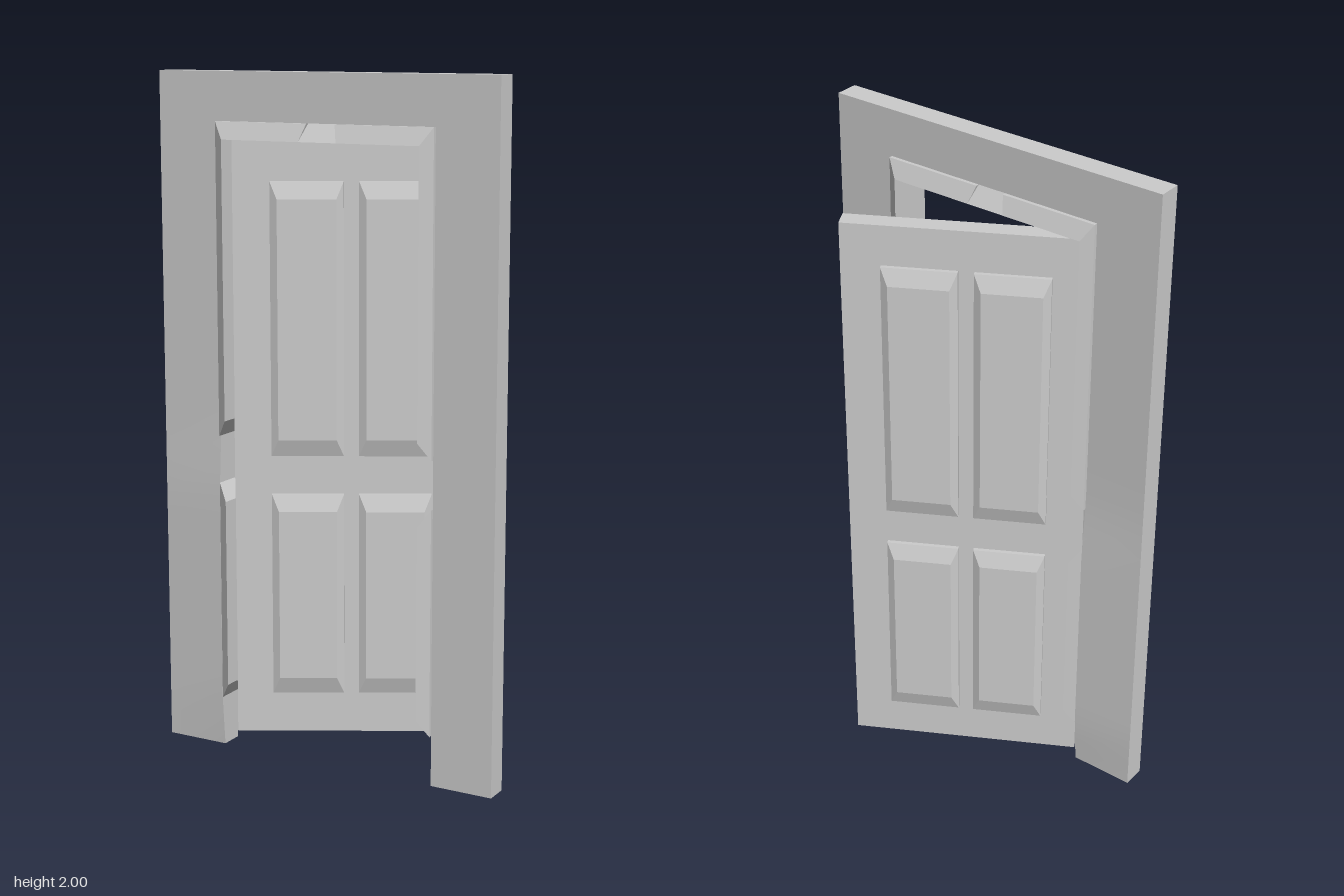
import * as THREE from 'three';
import { ConvexGeometry } from 'three/addons/geometries/ConvexGeometry.js';

const material = new THREE.MeshStandardMaterial({ color: 0xcccccc });
const V = (x, y, z) => new THREE.Vector3(x, y, z);

function part(parent, name, geometry, x = 0, y = 0, z = 0) {
  const mesh = new THREE.Mesh(geometry, material);
  mesh.name = name;
  mesh.position.set(x, y, z);
  parent.add(mesh);
}

// Solid spanning two [x, y] outlines, each with its own back and front depth
function bevelled(outer, outerZ, inner, innerZ) {
  const points = [];
  for (const [outline, depths] of [[outer, outerZ], [inner, innerZ]])
    for (const [x, y] of outline)
      for (const z of depths) points.push(V(x, y, z));
  return new ConvexGeometry(points);
}

const rect = (x0, x1, y0, y1) => [[x0, y0], [x1, y0], [x1, y1], [x0, y1]];

// Frame depths and opening
const BACK = 0.113, FRONT = 0.183, MID = (BACK + FRONT) / 2, DEPTH = FRONT - BACK;
const LEFT = -0.345, RIGHT = 0.35, TOP = 1.86;

function buildFrame() {
  const frame = new THREE.Group();
  frame.name = 'doorFrame';

  // Header and straight jamb as one outline
  const shape = new THREE.Shape([[-0.54, TOP], [RIGHT, TOP], [RIGHT, 0], [0.54, 0], [0.54, 2], [-0.54, 2]]
    .map(([x, y]) => new THREE.Vector2(x, y)));
  part(frame, 'headerAndJamb', new THREE.ExtrudeGeometry(shape, { depth: DEPTH, bevelEnabled: false }), 0, 0, BACK);

  // Hinge jamb, swelling softly along the lower inner edge
  const width = LEFT + 0.54;
  const jamb = new THREE.BoxGeometry(width, TOP, DEPTH, 1, 24, 1);
  const pos = jamb.attributes.position;
  for (let i = 0; i < pos.count; i++) {
    if (pos.getX(i) < 0) continue;
    const y = pos.getY(i) + TOP / 2;
    const swell = 0.012 * Math.min(1, y / 0.15) * (1 - THREE.MathUtils.smoothstep(y, 0.75, 1.0));
    pos.setZ(i, pos.getZ(i) + Math.sign(pos.getZ(i)) * swell);
  }
  jamb.computeVertexNormals();
  part(frame, 'hingeJamb', jamb, (LEFT - 0.54) / 2, TOP / 2, MID);

  // Bevelled trim lining the opening
  const outerZ = [0.102, 0.194], innerZ = [0.081, 0.215];
  for (const [side, edge, inset] of [['hinge', LEFT, 0.033], ['latch', RIGHT, -0.034]]) {
    const inside = edge + inset;
    part(frame, side + 'LowerTrim', bevelled([[edge, 0.15], [edge, 0.81]], outerZ, [[inside, 0.2], [inside, 0.76]], innerZ));
    part(frame, side + 'UpperTrim', bevelled([[edge, 0.95], [edge, TOP]], outerZ, [[inside, 1.0], [inside, 1.81]], innerZ));
    const s = Math.sign(edge);
    part(frame, side + 'TopTrim', bevelled([[edge, TOP], [s * 0.045, TOP]], outerZ, [[inside, 1.81], [s * 0.06, 1.81]], innerZ));
  }
  part(frame, 'middleTopTrim', bevelled([[-0.045, TOP], [0.045, TOP]], [BACK, FRONT], [[-0.06, 1.81], [0.06, 1.81]], innerZ));
  return frame;
}

function buildDoor() {
  const door = new THREE.Group();
  door.name = 'door';
  const W = 0.69, T = 0.057, bottom = 0.04, top = 1.81;
  part(door, 'doorSlab', new THREE.BoxGeometry(W, top - bottom, T), W / 2, (top + bottom) / 2, T / 2);

  // Raised panels showing on both faces
  for (const [row, y0, y1] of [['upper', 0.89, 1.69], ['lower', 0.165, 0.775]])
    for (const [column, x0, x1] of [['Hinge', 0.108, 0.32], ['Latch', 0.364, 0.577]])
      part(door, row + column + 'Panel', bevelled(
        rect(x0, x1, y0, y1), [-0.012, T + 0.012],
        rect(x0 + 0.021, x1 - 0.021, y0 + 0.05, y1 - 0.05), [-0.027, T + 0.027]));

  // Swung open about the hinge edge
  door.position.set(-0.34, 0, 0.111);
  door.rotation.y = 0.5;
  return door;
}

export function createModel() {
  const model = new THREE.Group();
  model.name = 'openDoor';
  model.add(buildFrame(), buildDoor());
  return model;
}
